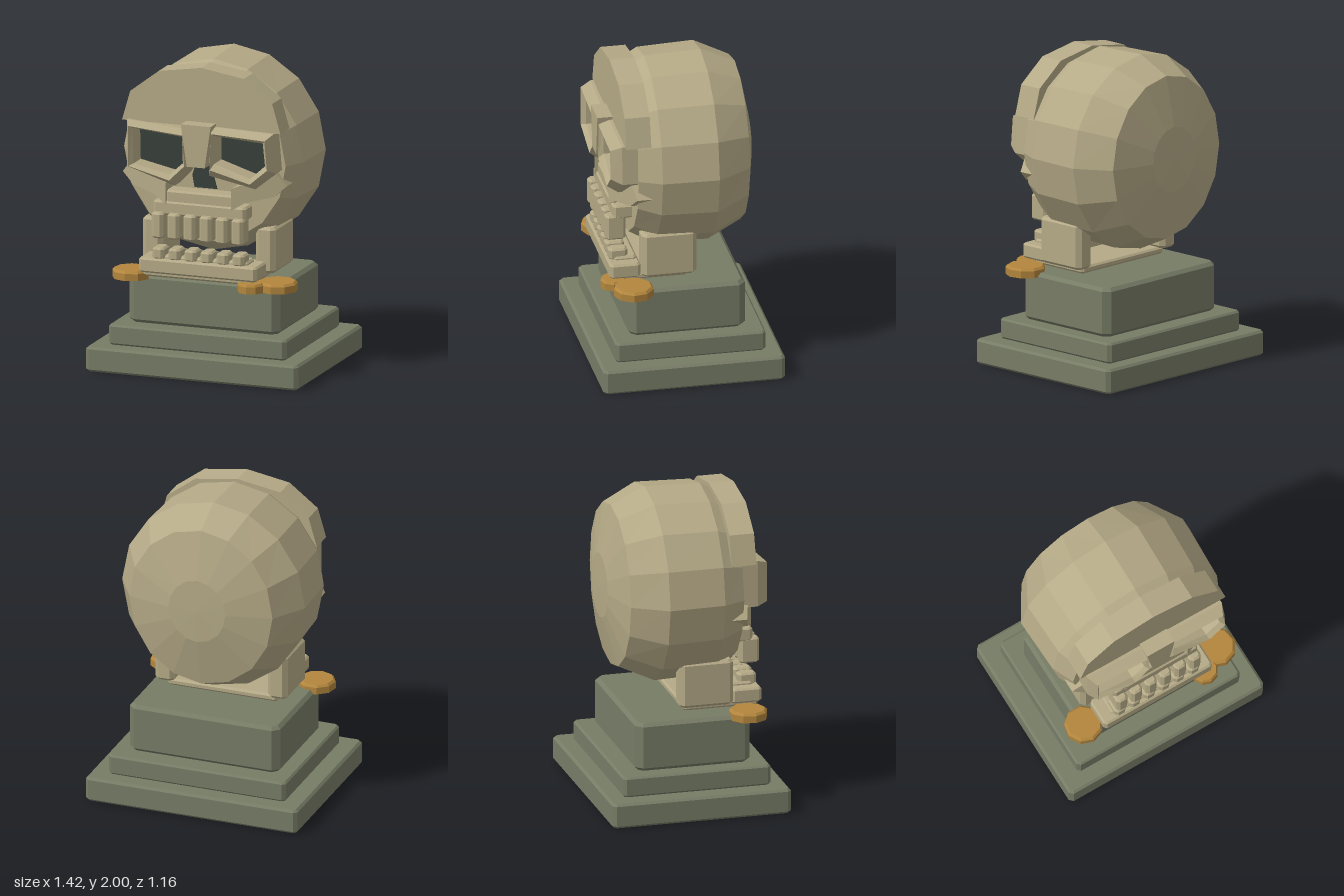
import * as THREE from 'three';

export function createModel() {
  const root = new THREE.Group();
  const mat = (name, color) => {
    const m = new THREE.MeshStandardMaterial({ color });
    m.name = name;
    return m;
  };
  const bone = mat('bone', 0xb5aa87);
  const stone = mat('stone', 0x777c66);
  const gold = mat('gold', 0xb3863d);
  const dark = mat('socketDark', 0x38413b);

  function add(name, geo, material, x = 0, y = 0, z = 0) {
    const mesh = new THREE.Mesh(geo, material);
    mesh.name = name;
    mesh.position.set(x, y, z);
    root.add(mesh);
    return mesh;
  }

  const shapeOf = (pts) => new THREE.Shape(pts.map(([x, y]) => new THREE.Vector2(x, y)));

  // Box with chamfered edges, given by its limits on each axis
  function block(name, material, [x0, x1], [y0, y1], [z0, z1], b = 0.012, corner = b) {
    const w = (x1 - x0) / 2 - b, d = (z1 - z0) / 2 - b, c = corner;
    const shape = shapeOf([
      [-w + c, -d], [w - c, -d], [w, -d + c], [w, d - c],
      [w - c, d], [-w + c, d], [-w, d - c], [-w, -d + c],
    ]);
    const geo = new THREE.ExtrudeGeometry(shape, {
      depth: y1 - y0 - 2 * b, bevelEnabled: true, bevelThickness: b, bevelSize: b, bevelSegments: 1,
    });
    geo.rotateX(-Math.PI / 2);
    return add(name, geo, material, (x0 + x1) / 2, y0 + b, (z0 + z1) / 2);
  }

  // Faceted skin over rings of [x, y, z]; rings run clockwise seen from the front
  function loft(rings) {
    const pos = [];
    for (let r = 0; r < rings.length - 1; r++) {
      const a = rings[r], b = rings[r + 1];
      for (let i = 0; i < a.length; i++) {
        const j = (i + 1) % a.length;
        pos.push(...a[i], ...b[i], ...b[j], ...a[i], ...b[j], ...a[j]);
      }
    }
    const geo = new THREE.BufferGeometry();
    geo.setAttribute('position', new THREE.Float32BufferAttribute(pos, 3));
    geo.computeVertexNormals();
    return geo;
  }

  function plate(name, pts, z0, z1, material) {
    const geo = new THREE.ExtrudeGeometry(shapeOf(pts), { depth: z1 - z0, bevelEnabled: false });
    return add(name, geo, material, 0, 0, z0);
  }

  // Stepped pedestal
  block('pedestalBottom', stone, [-0.71, 0.71], [0, 0.16], [-0.58, 0.58], 0.015, 0.015);
  block('pedestalMiddle', stone, [-0.595, 0.595], [0.16, 0.29], [-0.48, 0.48], 0.012, 0.015);
  block('pedestalTop', stone, [-0.505, 0.505], [0.29, 0.605], [-0.37, 0.375], 0.022, 0.03);

  // Cranium: sixteen-sided rings along z as [z, radius x, radius y]
  const profile = [
    [-0.475, 0, 0], [-0.47, 0.19, 0.21], [-0.4, 0.48, 0.525], [-0.18, 0.613, 0.627],
    [0.18, 0.6, 0.615], [0.32, 0.535, 0.535], [0.32, 0, 0],
  ];
  add('cranium', loft(profile.map(([z, rx, ry]) =>
    Array.from({ length: 16 }, (_, i) => {
      const t = (i / 16) * Math.PI * 2;
      return [rx * Math.sin(t), 1.373 + ry * Math.cos(t), z];
    }))), bone);

  // Forehead slab
  plate('forehead', [
    [-0.53, 1.6], [0.53, 1.6], [0.475, 1.79], [0.285, 1.935], [0, 1.98], [-0.285, 1.935], [-0.475, 1.79],
  ], 0.24, 0.4, bone);

  // Eye sockets: bevelled frames around dark plates
  const eyes = [
    {
      name: 'rightEye',
      outer: [[-0.49, 1.61], [-0.08, 1.58], [-0.05, 1.34], [-0.17, 1.21], [-0.49, 1.31]],
      inner: [[-0.435, 1.57], [-0.105, 1.54], [-0.1, 1.37], [-0.19, 1.29], [-0.43, 1.34]],
    },
    {
      name: 'leftEye',
      outer: [[0.08, 1.61], [0.49, 1.6], [0.51, 1.35], [0.37, 1.235], [0.06, 1.295]],
      inner: [[0.11, 1.565], [0.435, 1.545], [0.45, 1.4], [0.35, 1.31], [0.11, 1.385]],
    },
  ];
  for (const { name, outer, inner } of eyes) {
    const ring = (t, z) => outer.map(([x, y], i) =>
      [x + (inner[i][0] - x) * t, y + (inner[i][1] - y) * t, z]);
    add(name + 'Frame', loft([ring(0, 0.3), ring(0, 0.42), ring(0.6, 0.49), ring(1, 0.46), ring(1, 0.32)]), bone);
    plate(name + 'Socket', ring(0.9, 0), 0.325, 0.333, dark);
  }

  // Nose
  plate('noseBridge', [[-0.1, 1.63], [-0.06, 1.36], [0.06, 1.36], [0.1, 1.63]], 0.38, 0.497, bone);
  plate('noseHole', [
    [-0.05, 1.37], [0.05, 1.37], [0.055, 1.28], [0.08, 1.19], [-0.07, 1.19], [-0.085, 1.27],
  ], 0.325, 0.334, dark);

  // Cheekbones, swept back towards the sides
  for (const s of [-1, 1]) {
    const cheek = plate(s < 0 ? 'rightCheek' : 'leftCheek', [
      [0.55 * s, 1.25], [0.48 * s, 1.34], [0.22 * s, 1.23], [0.22 * s, 1.09], [0.3 * s, 1.14], [0.47 * s, 1.18],
    ], 0.28, 0.45, bone);
    const p = cheek.geometry.attributes.position;
    for (let i = 0; i < p.count; i++) p.setZ(i, p.getZ(i) - 0.35 * (Math.abs(p.getX(i)) - 0.22));
    cheek.geometry.computeVertexNormals();
  }

  // Upper jaw, then lower jaw with its hinges
  block('upperJaw', bone, [-0.23, 0.23], [1.08, 1.18], [0.3, 0.43]);
  block('upperGum', bone, [-0.31, 0.31], [1.02, 1.11], [0.3, 0.44]);
  block('lowerJaw', bone, [-0.395, 0.395], [0.645, 0.74], [0.28, 0.475]);
  block('jawFloor', bone, [-0.37, 0.37], [0.62, 0.665], [-0.03, 0.46]);
  block('lowerGum', bone, [-0.32, 0.32], [0.72, 0.76], [0.29, 0.44]);
  for (const s of [-1, 1]) {
    const x = [0.31 * s, 0.445 * s].sort((a, b) => a - b);
    block(s < 0 ? 'rightHinge' : 'leftHinge', bone, x, [0.66, 0.955], [-0.07, 0.28], 0.018);
  }

  // Two rows of six teeth
  for (let i = 0; i < 6; i++) {
    const x = (i - 2.5) * 0.107;
    block('upperTooth', bone, [x - 0.04, x + 0.04], [0.875, 1.04], [0.355, 0.485]);
    block('lowerTooth', bone, [x - 0.04, x + 0.04], [0.735, 0.81], [0.345, 0.465]);
  }

  // Coins lying around the pedestal top: x, z, radius
  for (const [x, z, r] of [[-0.482, 0.36, 0.122], [0.492, 0.345, 0.127], [0.35, 0.445, 0.085]]) {
    const top = new THREE.CylinderGeometry(r * 0.88, r, 0.015, 9).toNonIndexed();
    const rim = new THREE.CylinderGeometry(r, r, 0.045, 9).toNonIndexed();
    for (const g of [top, rim]) g.computeVertexNormals();
    add('coinRim', rim, gold, x, 0.6025, z);
    add('coinTop', top, gold, x, 0.6325, z);
  }

  return root;
}
